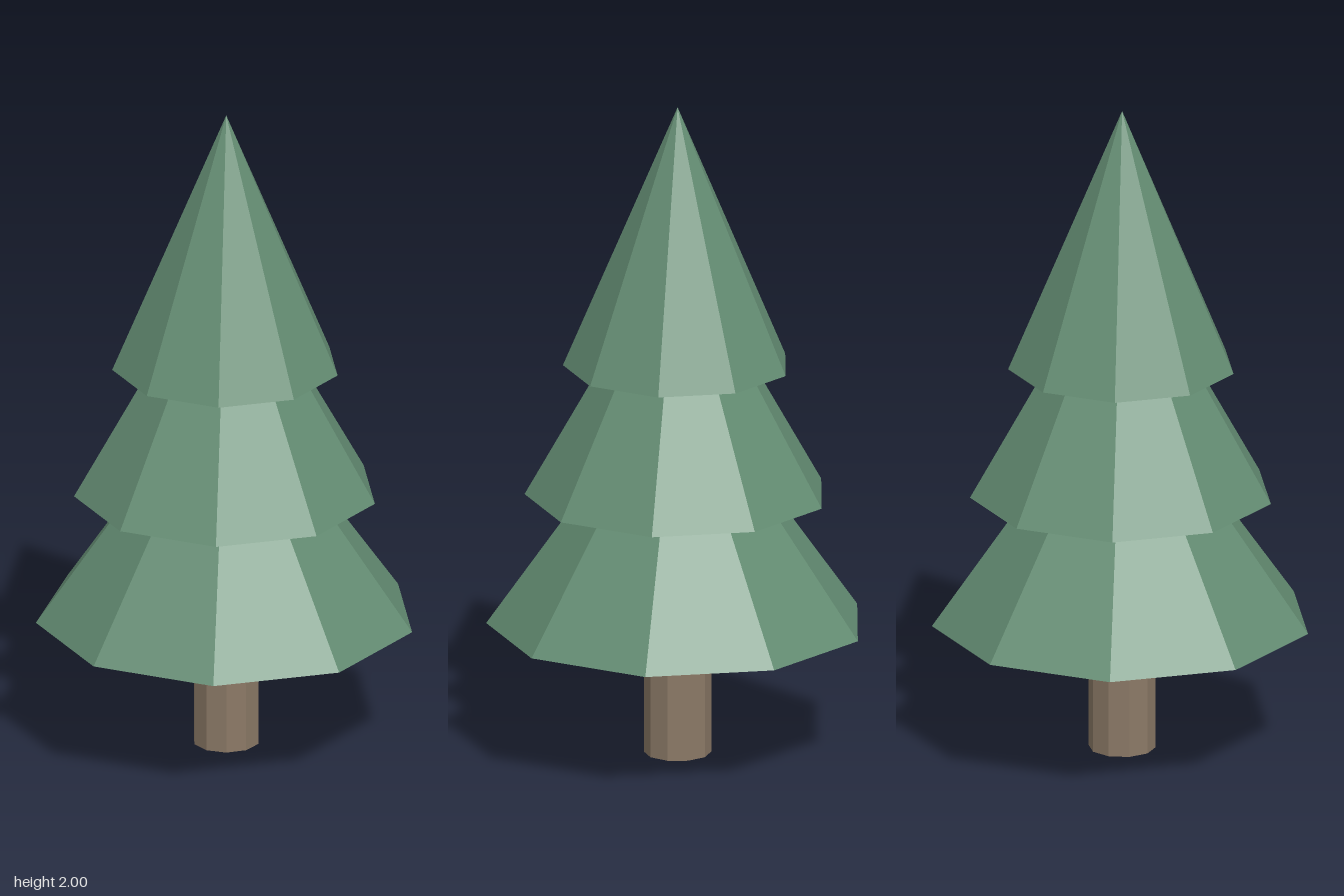
import * as THREE from 'three';

export function createModel() {
  const tree = new THREE.Group();
  tree.name = 'pineTree';

  const needles = new THREE.MeshStandardMaterial({ color: 0x648d73, flatShading: true });
  needles.name = 'needleGreen';
  const bark = new THREE.MeshStandardMaterial({ color: 0x8b7966, flatShading: true });
  bark.name = 'barkBrown';

  const centreX = -0.017; // a nine-sided outline is lopsided, so the axis sits off centre
  const start = Math.PI / 2; // first corner points to +x

  // ten-sided trunk
  const trunk = new THREE.Mesh(
    new THREE.CylinderGeometry(0.1, 0.1, 0.4, 10, 1, false, start), bark);
  trunk.name = 'trunk';
  trunk.position.set(centreX, 0.2, 0);
  tree.add(trunk);

  // three overlapping nine-sided cones, each with a closed underside
  const tiers = [
    ['lowerBranches', 0.569, 0.4],
    ['middleBranches', 0.455, 0.8],
    ['upperBranches', 0.341, 1.2],
  ];
  const height = 0.8;
  for (const [name, radius, base] of tiers) {
    const tier = new THREE.Mesh(
      new THREE.ConeGeometry(radius, height, 9, 1, false, start), needles);
    tier.name = name;
    tier.position.set(centreX, base + height / 2, 0);
    tree.add(tier);
  }
  return tree;
}
